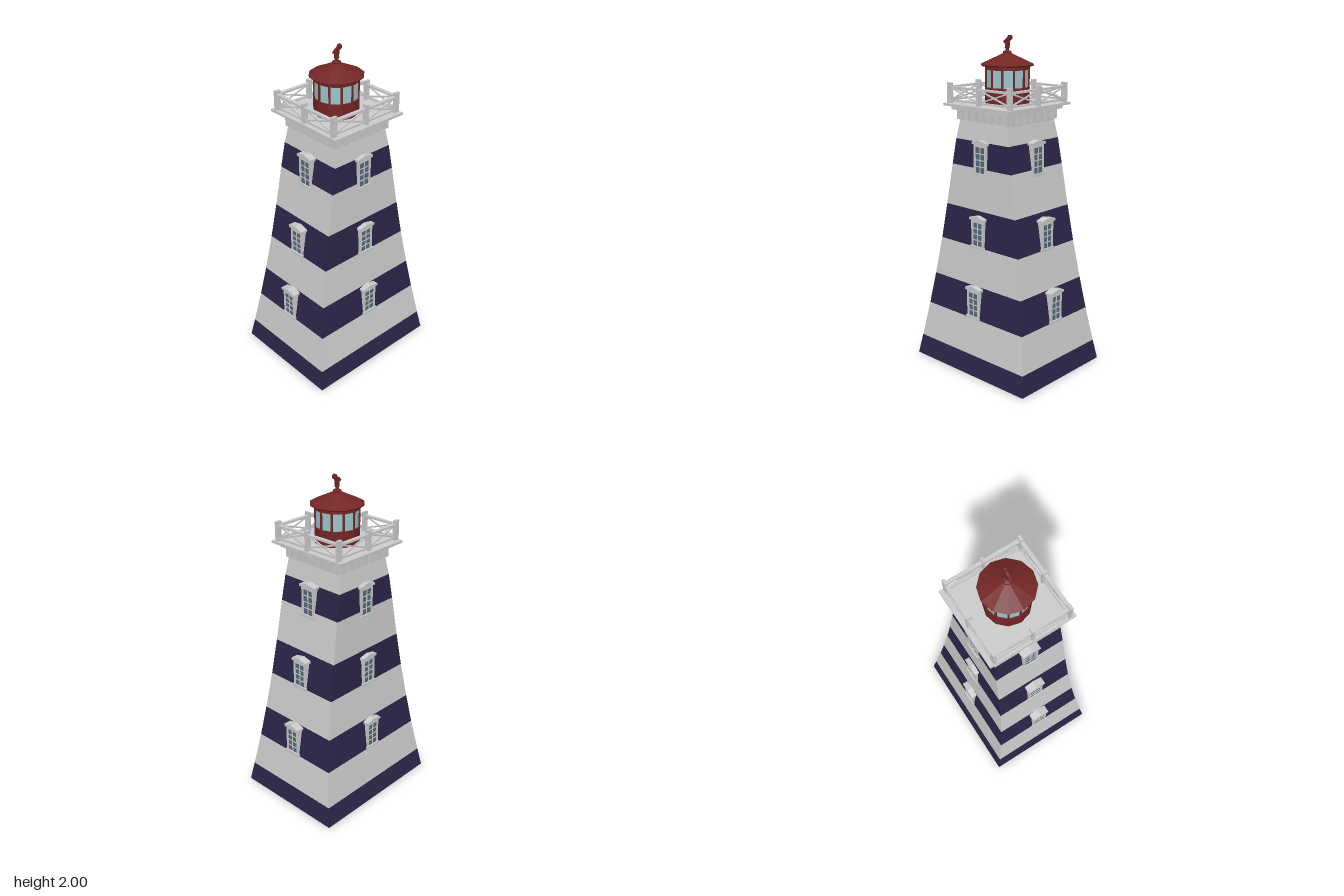
import * as THREE from 'three';

const mat = (color, extra = {}) => new THREE.MeshStandardMaterial({ color, flatShading: true, ...extra });
const GREY = mat(0xcccccc), NAVY = mat(0x2a2548), RED = mat(0x742626);
const GLASS = mat(0x9cc4ca), PANE = mat(0x546c7a);

function add(parent, name, geometry, material, x = 0, y = 0, z = 0) {
  const mesh = new THREE.Mesh(geometry, material);
  mesh.name = name;
  mesh.position.set(x, y, z);
  parent.add(mesh);
  return mesh;
}
const box = (parent, name, w, h, d, x, y, z, material = GREY) =>
  add(parent, name, new THREE.BoxGeometry(w, h, d), material, x, y, z);

// Straight square bar between two points
function bar(parent, name, a, b, w, d) {
  const dir = b.clone().sub(a);
  const mesh = box(parent, name, w, dir.length(), d, 0, 0, 0);
  mesh.position.copy(a).add(b).multiplyScalar(0.5);
  mesh.quaternion.setFromUnitVectors(new THREE.Vector3(0, 1, 0), dir.normalize());
  return mesh;
}

// Rectangular frustum: half sizes at the bottom and at the top
function frustum(y0, y1, x0, z0, x1, z1) {
  const g = new THREE.BoxGeometry(2, y1 - y0, 2);
  const p = g.attributes.position;
  for (let i = 0; i < p.count; i++) {
    const top = p.getY(i) > 0;
    p.setX(i, p.getX(i) * (top ? x1 : x0));
    p.setZ(i, p.getZ(i) * (top ? z1 : z0));
  }
  g.translate(0, (y0 + y1) / 2, 0);
  return g;
}

// Window facing +z; its frame face lies at z = 0 and its sill at y = 0
function makeWindow(h) {
  const g = new THREE.Group();
  const back = 0.07, jambH = h - 0.03;
  for (const s of [-1, 1]) box(g, 'windowJamb', 0.014, jambH, back, s * 0.042, jambH / 2, -back / 2);
  box(g, 'windowSill', 0.108, 0.016, back, 0, 0.008, -back / 2 + 0.006);
  box(g, 'windowHead', 0.09, 0.016, back, 0, h - 0.034, -back / 2);
  box(g, 'windowGlass', 0.08, jambH - 0.01, 0.06, 0, jambH / 2, -0.034, PANE);
  box(g, 'windowMullion', 0.006, jambH - 0.02, 0.01, 0, jambH / 2, -0.006);
  for (let i = 1; i < 4; i++)
    box(g, 'windowGlazingBar', 0.075, 0.005, 0.01, 0, 0.016 + (h - 0.058) * i / 4, -0.006);
  const hood = new THREE.Shape([[-0.058, 0], [0.058, 0], [0.058, 0.014], [0, 0.027], [-0.058, 0.014]]
    .map(([x, y]) => new THREE.Vector2(x, y)));
  add(g, 'windowHood', new THREE.ExtrudeGeometry(hood, { depth: 0.064, bevelEnabled: false }),
    GREY, 0, h - 0.027, -0.057);
  return g;
}

export function createModel() {
  const model = new THREE.Group();
  model.name = 'lighthouse';

  // Striped tower: straight taper in x, slightly concave in z
  const tower = new THREE.Group();
  tower.name = 'tower';
  model.add(tower);
  const halfX = y => 0.445 - 0.168 * y;
  const rings = [[0.003, 0.355], [0.125, 0.333], [0.345, 0.298], [0.545, 0.273], [0.78, 0.25],
    [1.0, 0.236], [1.25, 0.225], [1.405, 0.216], [1.515, 0.2]];
  add(tower, 'foundation', frustum(0, 0.003, 0.445, 0.355, 0.445, 0.355), GREY);
  for (let i = 0; i < rings.length - 1; i++) {
    const [y0, z0] = rings[i], [y1, z1] = rings[i + 1];
    add(tower, i % 2 ? 'whiteBand' : 'navyBand', frustum(y0, y1, halfX(y0), z0, halfX(y1), z1),
      i % 2 ? GREY : NAVY);
  }

  // Three storeys of windows on all four sides: sill y, height, face distance in x and z
  for (const [y, h, fx, fz] of [[0.345, 0.205, 0.395, 0.302], [0.775, 0.2, 0.321, 0.26], [1.21, 0.21, 0.244, 0.234]])
    for (let side = 0; side < 4; side++) {
      const w = makeWindow(h), d = side % 2 ? fx : fz, a = side * Math.PI / 2;
      w.name = 'window';
      w.position.set(Math.sin(a) * d, y, Math.cos(a) * d);
      w.rotation.y = a;
      model.add(w);
    }

  // Gallery: cornice, open row of brackets and deck
  const gallery = new THREE.Group();
  gallery.name = 'gallery';
  model.add(gallery);
  box(gallery, 'cornice', 0.385, 0.014, 0.4, 0, 1.516, 0);
  box(gallery, 'deckBeam', 0.45, 0.024, 0.47, 0, 1.588, 0);
  box(gallery, 'deck', 0.515, 0.014, 0.54, 0, 1.606, 0);
  const profile = new THREE.Shape();
  profile.moveTo(-0.03, 0);
  profile.lineTo(0.008, 0);
  profile.quadraticCurveTo(0.012, 0.038, 0.04, 0.044);
  profile.lineTo(0.04, 0.062);
  profile.lineTo(-0.03, 0.062);
  const bracketGeo = new THREE.ExtrudeGeometry(profile, { depth: 0.032, bevelEnabled: false, curveSegments: 4 });
  bracketGeo.translate(0, 0, -0.016);
  bracketGeo.rotateY(-Math.PI / 2);

  // Each side has brackets and a two-bay railing with crossed braces
  const R = 0.235, v = (x, y) => new THREE.Vector3(x, y, R);
  for (let side = 0; side < 4; side++) {
    const g = new THREE.Group();
    g.name = 'gallerySide';
    g.rotation.y = side * Math.PI / 2;
    gallery.add(g);
    for (let i = -3; i <= 3; i++) {
      const b = add(g, 'bracket', bracketGeo, GREY, i * 0.06, 1.52, side % 2 ? 0.183 : 0.19);
      b.rotation.y = Math.PI;
    }
    box(g, 'railPost', 0.016, 0.118, 0.034, 0, 1.671, R);
    box(g, 'topRail', 2 * R, 0.012, 0.022, 0, 1.705, R);
    box(g, 'bottomRail', 2 * R, 0.01, 0.016, 0, 1.63, R);
    for (const s of [-1, 1]) {
      bar(g, 'railBrace', v(s * 0.008, 1.632), v(s * 0.225, 1.702), 0.008, 0.008);
      bar(g, 'railBrace', v(s * 0.008, 1.702), v(s * 0.225, 1.632), 0.008, 0.008);
    }
  }
  for (const x of [-R, R]) for (const z of [-R, R])
    box(gallery, 'cornerPost', 0.034, 0.118, 0.018, x, 1.671, z);

  // Twelve-sided lantern room
  const lantern = new THREE.Group();
  lantern.name = 'lantern';
  model.add(lantern);
  const drum = (name, rTop, rBottom, y0, y1, material) => add(lantern, name,
    new THREE.CylinderGeometry(rTop, rBottom, y1 - y0, 12), material, 0, (y0 + y1) / 2, 0);
  drum('lanternWall', 0.133, 0.133, 1.61, 1.706, RED);
  drum('lanternGlass', 0.126, 0.126, 1.706, 1.81, GLASS);
  drum('lanternHead', 0.133, 0.133, 1.806, 1.832, RED);
  for (let i = 0; i < 12; i++) {
    const a = i * Math.PI / 6;
    const m = box(lantern, 'lanternMullion', 0.011, 0.104, 0.011,
      Math.sin(a) * 0.126, 1.757, Math.cos(a) * 0.126, RED);
    m.rotation.y = a;
  }
  drum('roofEave', 0.157, 0.152, 1.826, 1.834, RED);
  drum('roof', 0.012, 0.157, 1.834, 1.902, RED);

  // Roof finial: turned base with a thin curved vane
  const turned = [[0, 1.895], [0.024, 1.895], [0.024, 1.907], [0.01, 1.912], [0.01, 1.924], [0.016, 1.93], [0, 1.934]];
  add(lantern, 'finialBase', new THREE.LatheGeometry(turned.map(([x, y]) => new THREE.Vector2(x, y)), 12), RED);
  const vane = new THREE.Shape([[-0.01, 1.925], [0.012, 1.925], [0.014, 1.955], [0.018, 1.97], [0.032, 1.975],
    [0.034, 1.99], [0.026, 2.0], [0.012, 1.998], [0.004, 1.985], [-0.012, 1.975], [-0.028, 1.958], [-0.012, 1.95]]
    .map(([x, y]) => new THREE.Vector2(x, y)));
  add(lantern, 'finialVane', new THREE.ExtrudeGeometry(vane, { depth: 0.014, bevelEnabled: false }), RED, 0, 0, -0.007);
  return model;
}
